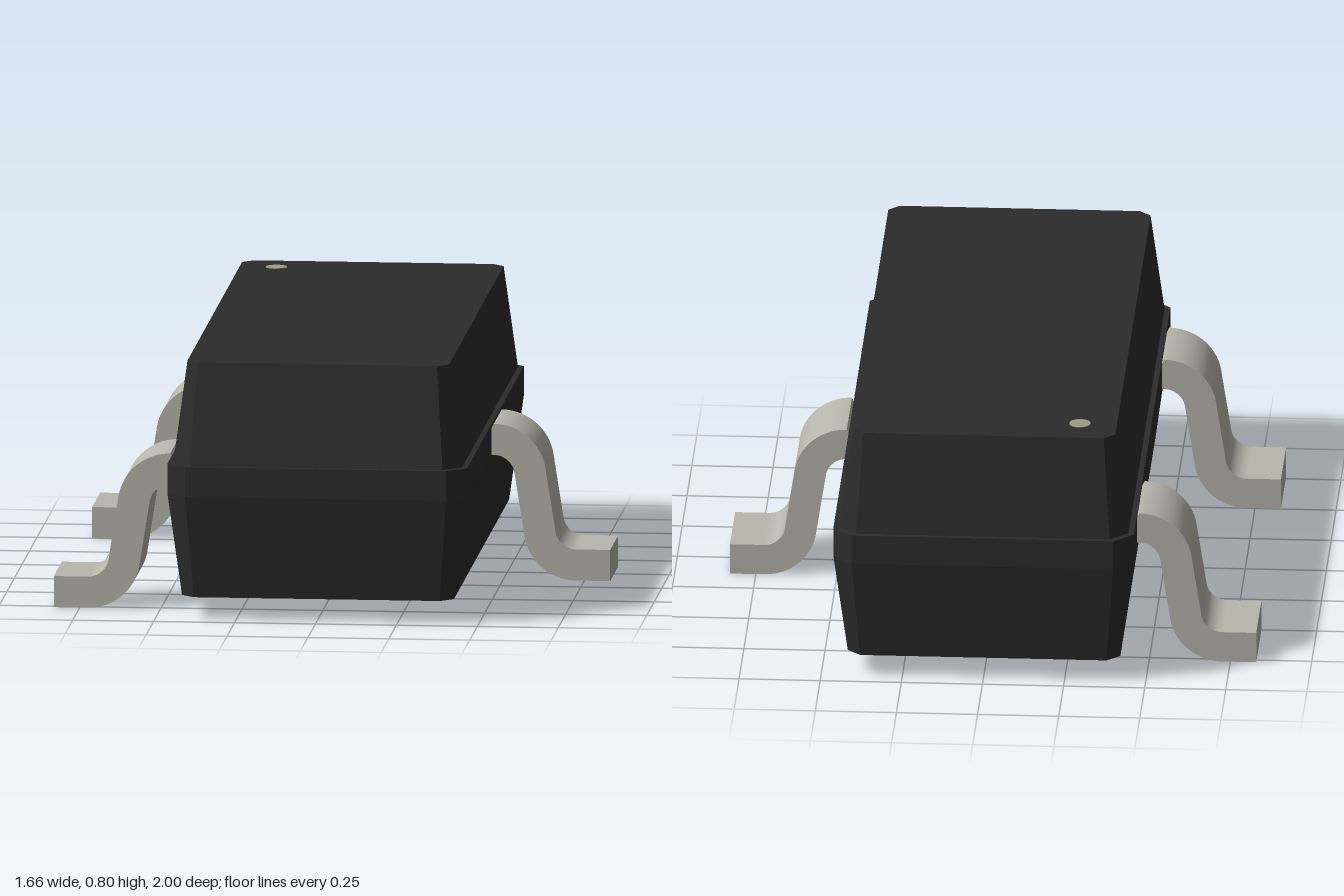
import * as THREE from 'three';

// Octagonal outline: rectangle with half sizes hx, hz and corner chamfer c
function ring(hx, hz, c, y) {
  return [
    [hx, hz - c], [hx, c - hz], [hx - c, -hz], [c - hx, -hz],
    [-hx, c - hz], [-hx, hz - c], [c - hx, hz], [hx - c, hz],
  ].map(([x, z]) => [x, y, z]);
}

// Flat-faced solid lofted through stacked rings, capped at both ends
function loft(rings) {
  const pos = [];
  const tri = (a, b, c) => pos.push(...a, ...b, ...c);
  const n = rings[0].length;
  for (let r = 0; r < rings.length - 1; r++) {
    const lo = rings[r], hi = rings[r + 1];
    for (let i = 0; i < n; i++) {
      const j = (i + 1) % n;
      tri(lo[i], lo[j], hi[j]);
      tri(lo[i], hi[j], hi[i]);
    }
  }
  const bottom = rings[0], top = rings[rings.length - 1];
  for (let i = 1; i < n - 1; i++) {
    tri(top[0], top[i], top[i + 1]);
    tri(bottom[0], bottom[i + 1], bottom[i]);
  }
  const geo = new THREE.BufferGeometry();
  geo.setAttribute('position', new THREE.Float32BufferAttribute(pos, 3));
  geo.computeVertexNormals();
  return geo;
}

// Gull-wing lead: side profile with two concentric bends, extruded across its width
function leadGeometry() {
  const tilt = 0.165, inner = 0.065, outer = 0.162, width = 0.266;
  const up = [0.47, 0.323], down = [0.725, 0.162];
  const s = new THREE.Shape();
  s.moveTo(0.42, up[1] + outer);
  s.absarc(up[0], up[1], outer, Math.PI / 2, tilt, true);
  s.absarc(down[0], down[1], inner, Math.PI + tilt, Math.PI * 1.5, false);
  s.lineTo(0.83, down[1] - inner);
  s.lineTo(0.83, 0);
  s.absarc(down[0], down[1], outer, Math.PI * 1.5, Math.PI + tilt, true);
  s.absarc(up[0], up[1], inner, tilt, Math.PI / 2, false);
  s.lineTo(0.42, up[1] + inner);
  s.closePath();
  const geo = new THREE.ExtrudeGeometry(s, { depth: width, bevelEnabled: false, curveSegments: 20 });
  geo.translate(0, 0, -width / 2);
  return smoothBends(geo, up, down);
}

// Radial normals on the bends; flat faces keep their own
function smoothBends(geo, up, down) {
  const p = geo.attributes.position, nrm = geo.attributes.normal;
  const n = new THREE.Vector3(), radial = new THREE.Vector3();
  for (let i = 0; i < p.count; i++) {
    n.fromBufferAttribute(nrm, i);
    if (Math.abs(n.z) > 0.5) continue;
    for (const c of [up, down]) {
      radial.set(p.getX(i) - c[0], p.getY(i) - c[1], 0);
      const r = radial.length();
      if (Math.abs(r - 0.065) > 1e-3 && Math.abs(r - 0.162) > 1e-3) continue;
      radial.normalize();
      const d = radial.dot(n);
      if (Math.abs(d) > 0.98) {
        radial.multiplyScalar(Math.sign(d));
        nrm.setXYZ(i, radial.x, radial.y, 0);
      }
    }
  }
  return geo;
}

export function createModel() {
  const model = new THREE.Group();
  model.name = 'transistorPackage';
  const plastic = new THREE.MeshStandardMaterial({ color: 0x2b2b2b, flatShading: true });
  const metal = new THREE.MeshStandardMaterial({ color: 0xb8b7ad });
  const paint = new THREE.MeshStandardMaterial({ color: 0xa39a8a });

  // Moulded body with a belt and a small step above it
  const body = new THREE.Mesh(loft([
    ring(0.42, 0.955, 0.04, 0.07),
    ring(0.463, 1, 0.06, 0.39),
    ring(0.463, 1, 0.06, 0.483),
    ring(0.446, 0.983, 0.055, 0.483),
    ring(0.404, 0.94, 0.034, 0.8),
  ]), plastic);
  body.name = 'body';
  model.add(body);

  // One lead on the left side, two on the right
  const leadGeo = leadGeometry();
  for (const [name, z, turn] of [
    ['leftLead', 0, 0],
    ['rightFrontLead', 0.635, Math.PI],
    ['rightBackLead', -0.635, Math.PI],
  ]) {
    const lead = new THREE.Mesh(leadGeo, metal);
    lead.name = name;
    lead.position.z = z;
    lead.rotation.y = turn;
    model.add(lead);
  }

  // Pin-one dot on the top face
  const dot = new THREE.Mesh(new THREE.CylinderGeometry(0.033, 0.033, 0.004, 32), paint);
  dot.name = 'pinOneMark';
  dot.position.set(-0.29, 0.8, -0.823);
  model.add(dot);

  return model;
}
